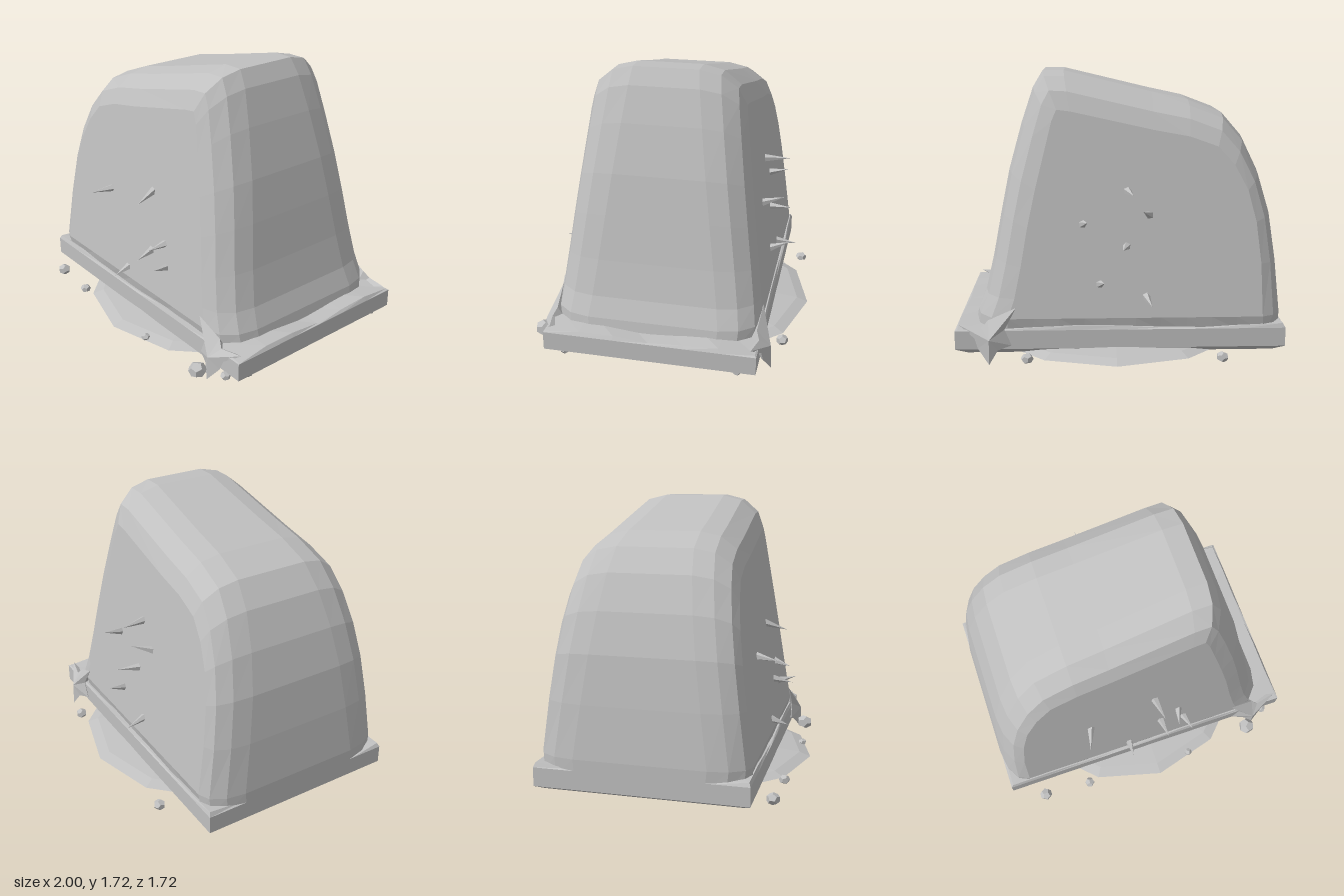
import * as THREE from 'three';

const stone = new THREE.MeshStandardMaterial({ color: 0xc0c0c0, flatShading: true, side: THREE.DoubleSide });
stone.name = 'grey stone';

// Outer silhouette, and the smaller outline of the flat faces, point for point
const outer = [[-1, 0.15], [-1, 0.26], [-0.97, 0.58], [-0.93, 0.87], [-0.86, 1.11], [-0.76, 1.32], [-0.64, 1.46],
  [-0.43, 1.54], [-0.2, 1.59], [0.34, 1.72], [0.47, 1.72], [0.53, 1.62], [0.6, 1.41], [0.68, 1.12], [0.73, 0.87],
  [0.78, 0.6], [0.83, 0.38], [0.88, 0.26], [0.9, 0.15]];
const inner = [[-0.87, 0.15], [-0.86, 0.26], [-0.85, 0.58], [-0.82, 0.83], [-0.77, 1.02], [-0.69, 1.17], [-0.59, 1.28],
  [-0.42, 1.34], [-0.2, 1.38], [0.3, 1.49], [0.38, 1.5], [0.41, 1.43], [0.45, 1.27], [0.51, 1.03], [0.56, 0.8],
  [0.6, 0.57], [0.64, 0.38], [0.68, 0.26], [0.69, 0.15]];
const faceZ = (y) => 0.672 - 0.136 * y - (y < 0.2 ? 0.025 : 0);

function meshFrom(positions, index, name) {
  const g = new THREE.BufferGeometry();
  g.setAttribute('position', new THREE.Float32BufferAttribute(positions, 3));
  g.setIndex(index);
  g.computeVertexNormals();
  return named(g, name);
}

function named(geometry, name) {
  const m = new THREE.Mesh(geometry, stone);
  m.name = name;
  return m;
}

// Rounded rim running over the body, from the front face to the back face
function bodyShell() {
  const pos = [], idx = [], n = outer.length;
  const steps = [0, 1, 2, 3].map((k) => k * Math.PI / 6);
  const rings = [...steps.map((a) => [a, 1]), ...steps.slice().reverse().map((a) => [a, -1])];
  rings.forEach(([a, side], j) => {
    const t = Math.sin(a);
    for (let i = 0; i < n; i++) {
      const x = THREE.MathUtils.lerp(inner[i][0], outer[i][0], t);
      const y = THREE.MathUtils.lerp(inner[i][1], outer[i][1], t);
      pos.push(x, y, side * (faceZ(y) - 0.24 * (1 - Math.cos(a))));
      if (j < rings.length - 1 && i < n - 1) {
        const p = j * n + i;
        idx.push(p, p + 1, p + n, p + 1, p + n + 1, p + n);
      }
    }
  });
  return meshFrom(pos, idx, 'bodyShell');
}

// Flat leaning face of the body
function bodyFace(side) {
  const shape = new THREE.Shape(inner.slice(1, -1).map(([x, y]) => new THREE.Vector2(x, y)));
  const g = new THREE.ShapeGeometry(shape);
  const p = g.attributes.position;
  for (let i = 0; i < p.count; i++) p.setZ(i, side * faceZ(p.getY(i)));
  if (side < 0) g.index.array.reverse();
  g.computeVertexNormals();
  return named(g, side > 0 ? 'frontFace' : 'backFace');
}

// Wavy undercut below each face
function undercut(side) {
  const pos = [], idx = [], n = 10;
  for (let i = 0; i <= n; i++) {
    const t = i / n;
    pos.push(-0.86 + 1.54 * t, 0.26, side * faceZ(0.26));
    pos.push(-0.87 + 1.56 * t, 0.16 + 0.018 * Math.sin(i * 2.1), side * 0.615);
    if (i < n) {
      const a = 2 * i;
      if (side > 0) idx.push(a, a + 1, a + 2, a + 1, a + 3, a + 2);
      else idx.push(a, a + 2, a + 1, a + 1, a + 2, a + 3);
    }
  }
  return meshFrom(pos, idx, 'undercut');
}

// Slab with a worn top edge and cut-away lower edge
function plinth() {
  const g = new THREE.BoxGeometry(2, 0.17, 1.29, 8, 3, 6);
  const p = g.attributes.position;
  for (let i = 0; i < p.count; i++) {
    const x = p.getX(i), z = p.getZ(i), row = Math.round((p.getY(i) + 0.085) / 0.17 * 3);
    const inset = [0.93, 1, 1, 0.985][row];
    const wear = row === 3 ? 0.012 * Math.sin(z * 9 + x * 5) : 0;
    p.setXYZ(i, x * inset, [0.04, 0.075, 0.19, 0.205][row] + wear, z * inset);
  }
  g.computeVertexNormals();
  return named(g, 'plinth');
}

// Low dish spreading out under the plinth
function groundDish() {
  const profile = [[0, 0.04], [0.86, 0.04], [0.79, 0.065], [0.6, 0.085], [0, 0.09]];
  const g = new THREE.LatheGeometry(profile.map(([r, y]) => new THREE.Vector2(r, y)), 12);
  g.translate(0.03, 0, 0);
  return named(g, 'groundDish');
}

// Jagged shard folded around a corner of the plinth
function cornerShard(side) {
  const rim = [[0.63, 0.33, 0.635], [0.8, 0.25, 0.62], [0.84, 0.21, 0.64], [0.98, 0.22, 0.61], [0.88, 0.15, 0.66],
    [0.86, 0.09, 0.67], [0.79, 0, 0.71], [0.74, 0.08, 0.68], [0.66, 0.1, 0.65], [0.7, 0.2, 0.65]];
  const pos = [0.79, 0.15, side * 0.705, 0.79, 0.15, side * 0.56], idx = [], n = rim.length;
  rim.forEach(([x, y, z], i) => {
    pos.push(x, y, side * z);
    const a = 2 + i, b = 2 + (i + 1) % n;
    if (side > 0) idx.push(0, b, a, 1, a, b);
    else idx.push(0, a, b, 1, b, a);
  });
  return meshFrom(pos, idx, 'cornerShard');
}

// Thorn from a base point on a face to its tip
function spike(base, tip) {
  const a = new THREE.Vector3(...base), b = new THREE.Vector3(...tip);
  const dir = b.clone().sub(a), m = named(new THREE.ConeGeometry(0.028, dir.length(), 5), 'spike');
  m.position.copy(a).add(b).multiplyScalar(0.5);
  m.quaternion.setFromUnitVectors(new THREE.Vector3(0, 1, 0), dir.normalize());
  return m;
}

export function createModel() {
  const model = new THREE.Group();
  model.name = 'stoneBlock';
  model.add(bodyShell(), plinth(), groundDish());
  for (const side of [1, -1]) model.add(bodyFace(side), undercut(side), cornerShard(side));

  // Thorns: base x, base y, tip x, tip y, tip z
  const thorns = [
    [0.06, 0.92, 0.09, 0.87, 0.68], [-0.37, 0.79, -0.42, 0.775, 0.7], [0.23, 0.63, 0.2, 0.6, 0.69],
    [0.1, 0.54, 0.12, 0.51, 0.72], [0.26, 0.48, 0.29, 0.51, 0.72], [-0.13, 0.33, -0.13, 0.295, 0.73],
    [-0.04, 1.02, -0.07, 1.02, -0.69], [-0.18, 0.87, -0.13, 0.92, -0.675], [0.23, 0.82, 0.2, 0.86, -0.69],
    [-0.04, 0.69, -0.01, 0.7, -0.72], [0.13, 0.46, 0.1, 0.505, -0.73], [-0.15, 0.39, -0.18, 0.365, -0.75]];
  for (const [x, y, tx, ty, tz] of thorns) {
    model.add(spike([x, y, Math.sign(tz) * (faceZ(y) - 0.02)], [tx, ty, tz]));
  }

  // Pebbles: x, z, radius
  const pebbles = [[-0.79, 0.74, 0.042], [-0.47, 0.76, 0.034], [0.27, 0.78, 0.027], [0.74, 0.74, 0.056],
    [-0.6, -0.76, 0.038], [0.56, -0.75, 0.038], [0.89, 0.65, 0.032], [0.95, 0.53, 0.03], [0.95, -0.53, 0.03]];
  pebbles.forEach(([x, z, r], i) => {
    const m = named(new THREE.DodecahedronGeometry(r), 'pebble');
    m.position.set(x, 0.055, z);
    m.scale.y = 0.85;
    m.rotation.y = i * 1.3;
    model.add(m);
  });
  return model;
}
